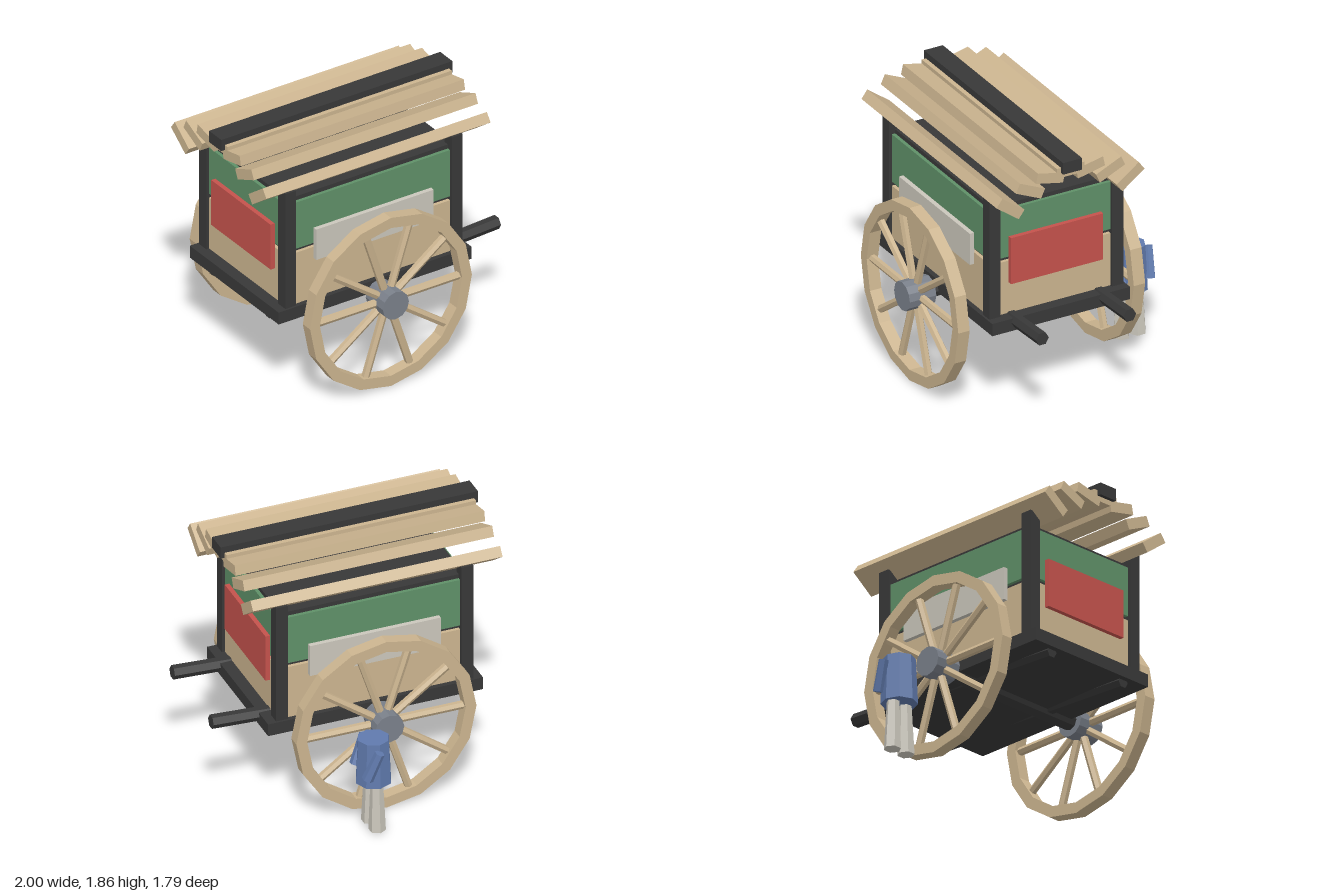
import * as THREE from 'three';

const material = (name, color) => {
  const m = new THREE.MeshStandardMaterial({ color, flatShading: true });
  m.name = name;
  return m;
};

export function createModel() {
  const wood = material('pale wood', 0xcbb48f);
  const dark = material('dark timber', 0x383838);
  const green = material('green paint', 0x5f9068);
  const red = material('red paint', 0xc4524c);
  const cloth = material('pale grey', 0xcac6bb);
  const metal = material('hub grey', 0x7a808a);
  const blue = material('blue cloth', 0x607aad);

  const model = new THREE.Group();
  model.name = 'handcart';

  const add = (parent, name, geo, mat, x = 0, y = 0, z = 0) => {
    const mesh = new THREE.Mesh(geo, mat);
    mesh.name = name;
    mesh.position.set(x, y, z);
    parent.add(mesh);
    return mesh;
  };
  const box = (parent, name, mat, w, h, d, x, y, z) =>
    add(parent, name, new THREE.BoxGeometry(w, h, d), mat, x, y, z);
  // Tapered rod from point a to point b
  const rod = (parent, name, mat, a, b, ra, rb, sides) => {
    const from = new THREE.Vector3(...a), to = new THREE.Vector3(...b);
    const dir = to.clone().sub(from);
    const mesh = add(parent, name, new THREE.CylinderGeometry(rb, ra, dir.length(), sides), mat);
    mesh.position.copy(from).add(to).multiplyScalar(0.5);
    mesh.quaternion.setFromUnitVectors(new THREE.Vector3(0, 1, 0), dir.normalize());
    return mesh;
  };

  // The cart is built around its own centre line
  const cart = new THREE.Group();
  cart.name = 'cart';
  cart.position.set(-0.0875, 0, 0.133);
  model.add(cart);

  // Floor, core and wall bands
  box(cart, 'floor', dark, 1.52, 0.09, 1.04, 0, 0.675, 0);
  box(cart, 'core', dark, 1.3, 0.8, 0.92, 0, 1.115, 0);
  box(cart, 'lowerWall', wood, 1.35, 0.385, 0.97, 0, 0.9125, 0);
  box(cart, 'upperWall', green, 1.35, 0.35, 0.97, 0, 1.31, 0);

  for (const s of [-1, 1]) {
    for (const t of [-1, 1])
      box(cart, 'cornerPost', dark, 0.085, 0.89, 0.085, s * 0.655, 1.145, t * 0.463);
    box(cart, 'sidePanel', cloth, 0.925, 0.23, 0.035, 0, 1.135, s * 0.5);
    box(cart, 'endPanel', red, 0.035, 0.34, 0.695, s * 0.69, 1.115, 0);
    // Pulling shafts, rising toward the handles
    rod(cart, 'shaft', dark, [-0.72, 0.617, s * 0.33], [1.086, 0.71, s * 0.33], 0.042, 0.048, 6);
  }

  // Roof slats along an arc, each tipped up at its outer edge
  for (let i = -3; i <= 3; i++) {
    const z = i * 0.151;
    const slat = box(cart, 'roofSlat', wood, 1.765, 0.073, 0.208, 0, 1.776 - 0.815 * z * z, z);
    slat.rotation.x = -i * 0.212;
  }
  box(cart, 'ridgeBeam', dark, 1.82, 0.085, 0.143, 0, 1.817, 0);

  // Axle and wheels
  const axleY = 0.642;
  rod(cart, 'axle', dark, [0, axleY, -0.6], [0, axleY, 0.6], 0.06, 0.06, 8);

  const ring = (r) => Array.from({ length: 16 }, (_, i) =>
    new THREE.Vector2(Math.cos(i * Math.PI / 8) * r, Math.sin(i * Math.PI / 8) * r));
  const rimShape = new THREE.Shape(ring(0.637));
  rimShape.holes.push(new THREE.Path(ring(0.56)));
  const rimGeo = new THREE.ExtrudeGeometry(rimShape, { depth: 0.086, bevelEnabled: false });
  rimGeo.translate(0, 0, -0.043);

  for (const s of [-1, 1]) {
    const wheel = new THREE.Group();
    wheel.name = 'wheel';
    wheel.position.set(0, axleY, s * 0.662);
    cart.add(wheel);
    add(wheel, 'rim', rimGeo, wood);
    rod(wheel, 'hub', metal, [0, 0, -0.1], [0, 0, 0.1], 0.103, 0.103, 12);
    for (let i = 0; i < 10; i++) {
      const a = i * Math.PI / 5, c = Math.cos(a), d = Math.sin(a);
      const spoke = add(wheel, 'spoke', new THREE.CylinderGeometry(0.028, 0.028, 0.51, 6), wood,
        c * 0.32, d * 0.32, 0);
      spoke.rotation.z = a - Math.PI / 2;
    }
  }

  // Standing figure beside the wheel
  const figure = new THREE.Group();
  figure.name = 'figure';
  figure.position.set(0.07, 0, -0.73);
  model.add(figure);
  rod(figure, 'torso', blue, [0, 0.35, 0], [0, 0.675, 0], 0.124, 0.108, 8);
  for (const s of [-1, 1]) {
    rod(figure, 'leg', cloth, [0, 0.005, s * 0.063], [0, 0.37, s * 0.056], 0.058, 0.042, 6);
    rod(figure, 'arm', blue, [0.085, 0.43, s * 0.105], [0.01, 0.63, s * 0.133], 0.04, 0.034, 6);
  }

  return model;
}
